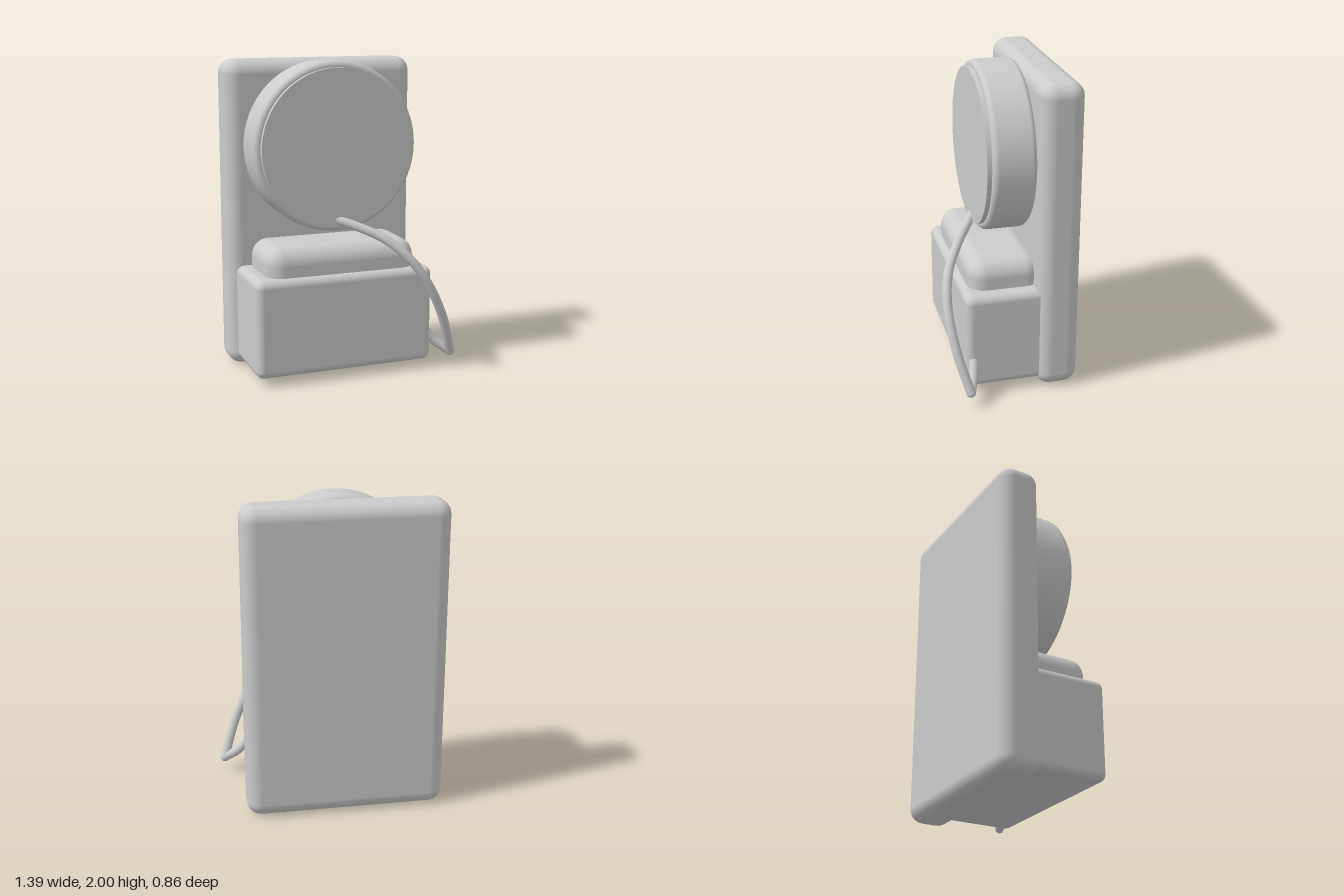
import * as THREE from 'three';
import { RoundedBoxGeometry } from 'three/addons/geometries/RoundedBoxGeometry.js';

export function createModel() {
  const model = new THREE.Group();
  const material = new THREE.MeshStandardMaterial({ color: 0xcccccc });

  const add = (name, geometry, parent = model) => {
    const mesh = new THREE.Mesh(geometry, material);
    mesh.name = name;
    parent.add(mesh);
    return mesh;
  };

  // Rounded block given by its lowest and highest corner
  const block = (name, lo, hi, radius) => {
    const size = hi.map((v, i) => v - lo[i]);
    const mesh = add(name, new RoundedBoxGeometry(...size, 4, radius));
    mesh.position.set(...hi.map((v, i) => (v + lo[i]) / 2));
  };

  block('backBoard', [-0.7, 0, -0.43], [0.57, 2, -0.16], 0.09);
  block('bellBox', [-0.65, 0.05, -0.25], [0.53, 0.68, 0.295], 0.05);
  block('boxCap', [-0.56, 0.5, -0.22], [0.44, 0.86, 0.25], 0.11);

  // Round drum, with bevelled rims turned towards +z
  const R = 0.54, b = 0.035, back = -0.165, front = 0.11;
  const rim = (z, dir) => [0, 1, 2, 3, 4].map((i) => {
    const a = (i / 4) * Math.PI / 2;
    return new THREE.Vector2(R - b + b * Math.sin(a), z + dir * b * (1 - Math.cos(a)));
  });
  const profile = [
    new THREE.Vector2(0, back),
    ...rim(back, 1),
    ...rim(front, -1).reverse(),
    new THREE.Vector2(0, front),
  ];
  const drum = new THREE.Group();
  drum.name = 'drum';
  drum.position.set(-0.06, 1.46, 0);
  drum.rotation.x = Math.PI / 2;
  model.add(drum);
  add('drumBody', new THREE.LatheGeometry(profile, 64), drum);
  add('drumFace', new THREE.CylinderGeometry(0.5, 0.5, 0.05, 64), drum).position.y = 0.114;

  // Cord: hangs from the drum, folds sharply and enters the box side
  const cord = new THREE.Group();
  cord.name = 'cord';
  model.add(cord);
  const strand = (name, points, segments) => {
    const curve = new THREE.CatmullRomCurve3(points.map((p) => new THREE.Vector3(...p)));
    add(name, new THREE.TubeGeometry(curve, segments, 0.03, 12), cord);
  };
  strand('hangingCord', [
    [-0.07, 1.0, 0.11], [0.07, 0.95, 0.2], [0.2, 0.885, 0.285], [0.33, 0.77, 0.365],
    [0.45, 0.6, 0.395], [0.57, 0.36, 0.37], [0.66, 0.1, 0.3],
  ], 40);
  strand('returnCord', [[0.66, 0.1, 0.3], [0.57, 0.165, 0.265], [0.5, 0.25, 0.245]], 12);
  add('cordFold', new THREE.SphereGeometry(0.031, 12, 8), cord).position.set(0.66, 0.1, 0.3);

  return model;
}
